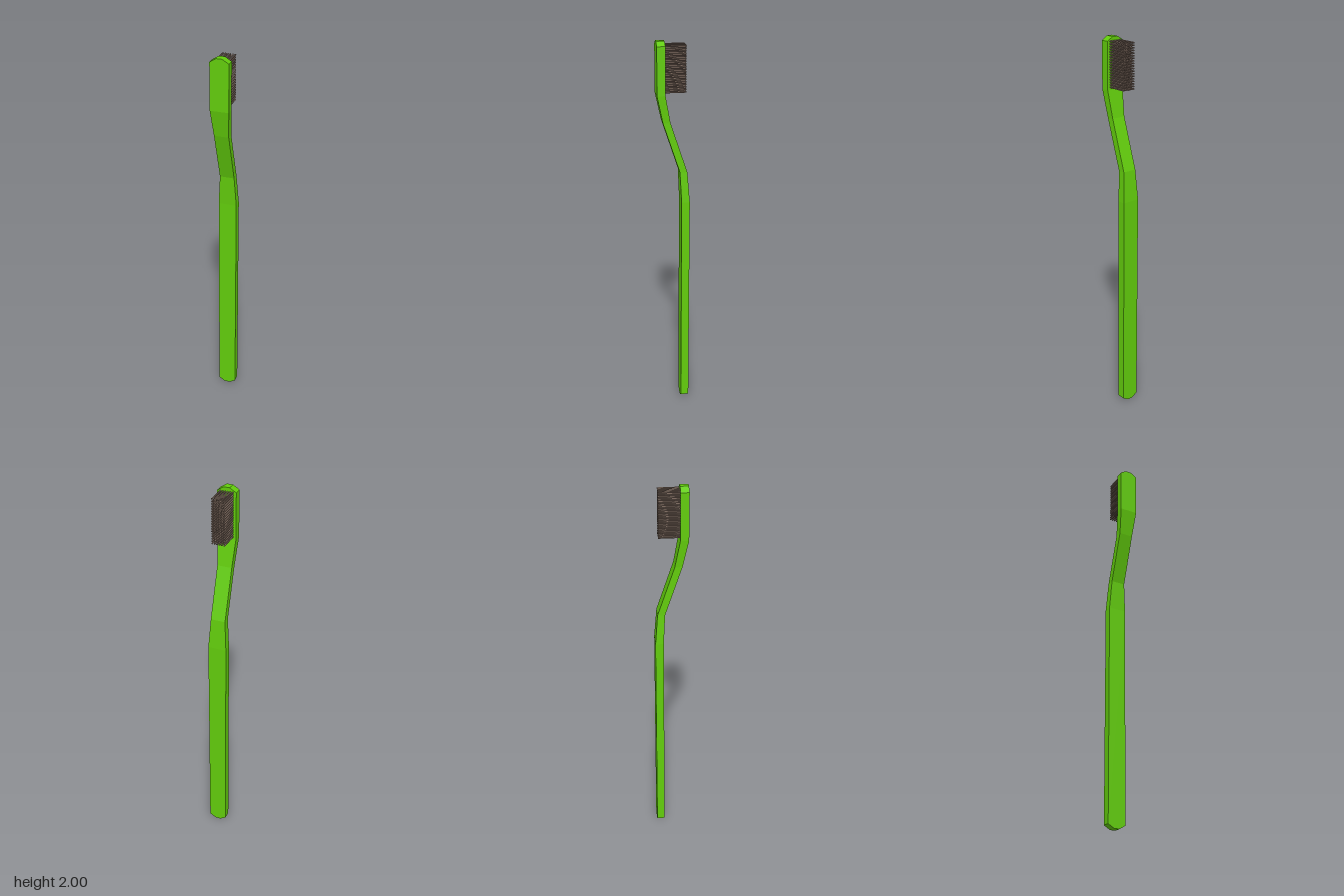
import * as THREE from 'three';
import { mergeGeometries } from 'three/addons/utils/BufferGeometryUtils.js';

// Loft of rectangular sections [y, half width, back z, front z], from bottom to top
function loftGeometry(sections) {
  const positions = [];
  const indices = [];
  for (const [y, w, back, front] of sections) {
    positions.push(-w, y, front, w, y, front, w, y, back, -w, y, back);
  }
  for (let s = 0; s < sections.length - 1; s++) {
    for (let i = 0; i < 4; i++) {
      const a = s * 4 + i;
      const b = s * 4 + (i + 1) % 4;
      indices.push(a, b, b + 4, a, b + 4, a + 4);
    }
  }
  // End caps
  const t = (sections.length - 1) * 4;
  indices.push(0, 2, 1, 0, 3, 2, t, t + 1, t + 2, t, t + 2, t + 3);
  const geometry = new THREE.BufferGeometry();
  geometry.setAttribute('position', new THREE.Float32BufferAttribute(positions, 3));
  geometry.setIndex(indices);
  const flat = geometry.toNonIndexed();
  flat.computeVertexNormals();
  return flat;
}

export function createModel() {
  const model = new THREE.Group();
  model.name = 'toothbrush';

  // Handle with bent, narrowed neck and chamfered ends
  const handle = new THREE.Mesh(
    loftGeometry([
      [0, 0.015, -0.083, -0.041],
      [0.02, 0.048, -0.083, -0.041],
      [1.18, 0.048, -0.083, -0.041],
      [1.34, 0.038, -0.071, -0.033],
      [1.6, 0.038, 0.015, 0.053],
      [1.74, 0.048, 0.041, 0.083],
      [1.98, 0.048, 0.041, 0.083],
      [2, 0.015, 0.041, 0.083],
    ]),
    new THREE.MeshStandardMaterial({ color: 0x62cc0c, flatShading: true })
  );
  handle.name = 'handle';
  model.add(handle);

  // Grid of thin bristles pointing backwards from the head
  const columns = 6, rows = 19, pitch = 0.0125;
  const backZ = -0.064, rootZ = 0.043;
  const bristles = [];
  for (let r = 0; r < rows; r++) {
    for (let c = 0; c < columns; c++) {
      const bristle = new THREE.CylinderGeometry(0.004, 0.004, rootZ - backZ, 6);
      bristle.rotateX(Math.PI / 2);
      bristle.translate(
        (c - (columns - 1) / 2) * pitch,
        1.866 + (r - (rows - 1) / 2) * pitch,
        (rootZ + backZ) / 2
      );
      bristles.push(bristle);
    }
  }
  const brush = new THREE.Mesh(
    mergeGeometries(bristles),
    new THREE.MeshStandardMaterial({ color: 0x8a7568, flatShading: true })
  );
  brush.name = 'bristles';
  model.add(brush);

  return model;
}
